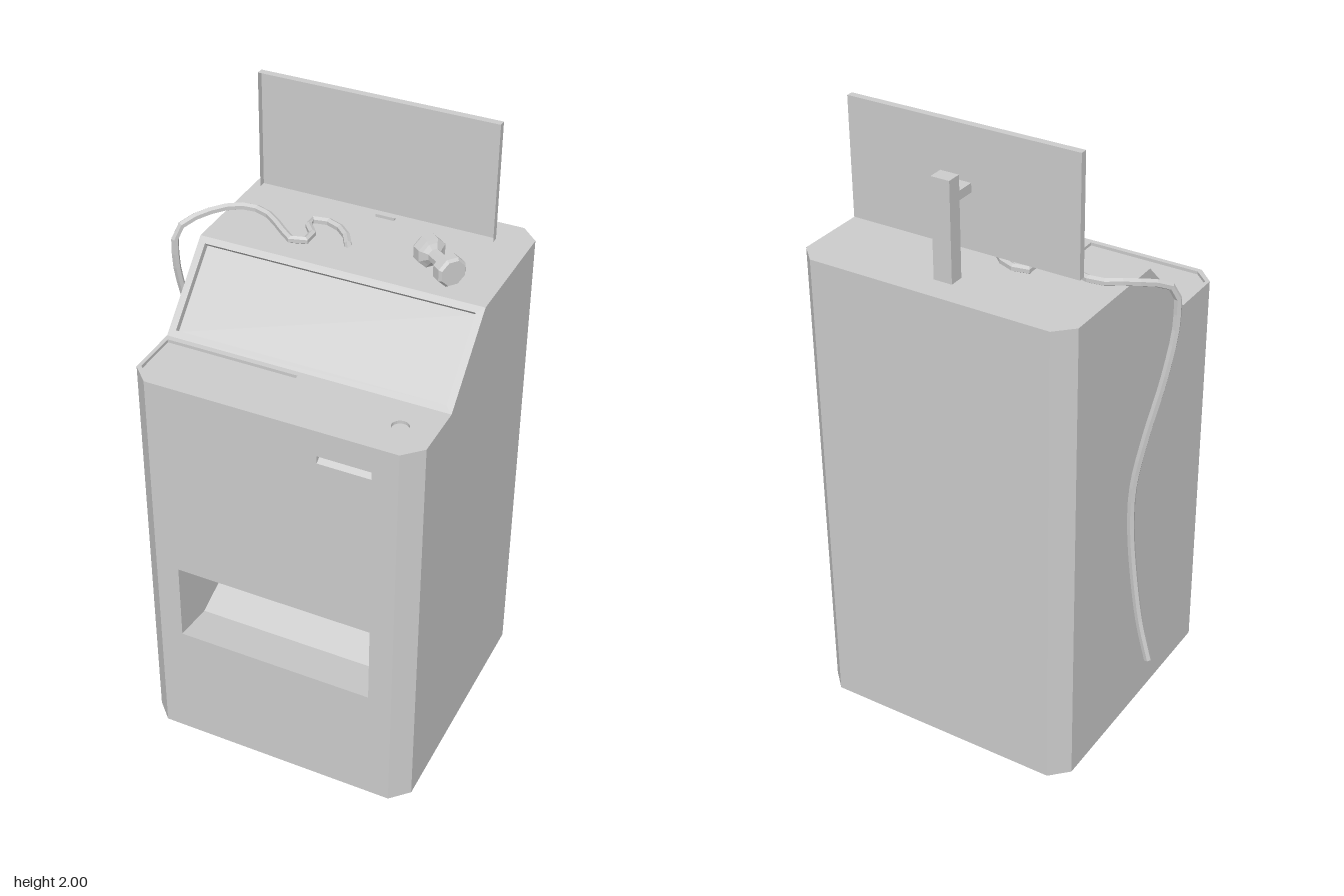
import * as THREE from 'three';
import { mergeGeometries } from 'three/addons/utils/BufferGeometryUtils.js';

const V = (x, y, z) => new THREE.Vector3(x, y, z);
const rect = (x0, y0, x1, y1) => [[x0, y0], [x1, y0], [x1, y1], [x0, y1]];

// Flat polygon, with optional holes, on the plane through o spanned by u and v
function face(o, u, v, outline, holes = []) {
  const toPts = (a) => a.map(([x, y]) => new THREE.Vector2(x, y));
  const shape = new THREE.Shape(toPts(outline));
  holes.forEach((h) => shape.holes.push(new THREE.Path(toPts(h))));
  const n = new THREE.Vector3().crossVectors(u, v);
  const m = new THREE.Matrix4().makeBasis(u, v, n).setPosition(o);
  return new THREE.ShapeGeometry(shape).applyMatrix4(m).toNonIndexed();
}

// Band of quads joining two matching rows of points
function band(a, b, closed) {
  const pos = [];
  const count = closed ? a.length : a.length - 1;
  for (let i = 0; i < count; i++) {
    const j = (i + 1) % a.length;
    [a[i], a[j], b[j], a[i], b[j], b[i]].forEach((p) => pos.push(p.x, p.y, p.z));
  }
  const g = new THREE.BufferGeometry();
  g.setAttribute('position', new THREE.Float32BufferAttribute(pos, 3));
  g.setAttribute('uv', new THREE.Float32BufferAttribute(new Float32Array(pos.length / 3 * 2), 2));
  g.computeVertexNormals();
  return g;
}

// Walls and floor of a pocket sunk below a plane
function pocket(o, u, v, outline, depth) {
  const n = new THREE.Vector3().crossVectors(u, v);
  const low = o.clone().addScaledVector(n, -depth);
  const at = (base) => outline.map(([x, y]) => base.clone().addScaledVector(u, x).addScaledVector(v, y));
  return mergeGeometries([face(low, u, v, outline), band(at(low), at(o), true)]);
}

// Trough of constant (z, y) section running along x, with end walls
function trough(x0, x1, profile) {
  const row = (x) => profile.map(([z, y]) => V(x, y, z));
  const section = profile.map(([z, y]) => [-z, y]);
  const u = V(0, 0, -1), v = V(0, 1, 0);
  return mergeGeometries([
    band(row(x0), row(x1), false),
    face(V(x0, 0, 0), u, v, section),
    face(V(x1, 0, 0), u, v, section),
  ]);
}

export function createModel() {
  const model = new THREE.Group();
  const grey = new THREE.MeshStandardMaterial({ color: 0xcccccc, side: THREE.DoubleSide, flatShading: true });
  grey.name = 'grey';
  const add = (name, geo, parent = model) => {
    const mesh = new THREE.Mesh(geo, grey);
    mesh.name = name;
    parent.add(mesh);
    return mesh;
  };

  const L = -0.39, R = 0.505, D = 0.45, C = 0.055;
  const low = 1.35, high = 1.57, slopeZ = 0.22;
  const X = V(1, 0, 0), Y = V(0, 1, 0), Z = V(0, 0, 1);
  const negX = V(-1, 0, 0), negZ = V(0, 0, -1);

  // Cabinet shell, open underneath
  const cabinet = new THREE.Group();
  cabinet.name = 'cabinet';
  model.add(cabinet);

  const trayHole = rect(-0.26, 0.41, 0.375, 0.675);
  const slotHole = rect(0.205, 1.24, 0.37, 1.265);
  add('frontPanel', face(V(0, 0, D), X, Y, rect(L + C, 0, R - C, low), [trayHole, slotHole]), cabinet);
  add('backPanel', face(V(0, 0, -D), negX, Y, rect(C - R, 0, -L - C, high)), cabinet);

  const side = [[-D + C, 0], [D - C, 0], [D - C, low], [slopeZ, low], [0, high], [-D + C, high]];
  add('rightPanel', face(V(L, 0, 0), Z, Y, side), cabinet);
  add('leftPanel', face(V(R, 0, 0), negZ, Y, side.map(([z, y]) => [-z, y])), cabinet);

  // Chamfered upright corners
  const corner = (x0, z0, x1, z1, h) => add('cornerPanel',
    band([V(x0, 0, z0), V(x1, 0, z1)], [V(x0, h, z0), V(x1, h, z1)], false), cabinet);
  corner(L, D - C, L + C, D, low);
  corner(R - C, D, R, D - C, low);
  corner(L + C, -D, L, -D + C, high);
  corner(R, -D + C, R - C, -D, high);

  // Flat rear top
  add('rearTop', face(V(0, high, 0), X, negZ,
    [[L, 0], [R, 0], [R, D - C], [R - C, D], [L + C, D], [L, D - C]]), cabinet);

  // Sloped panel with its sunken display
  const slopeO = V(0, low, slopeZ), slopeV = V(0, 1, -1).normalize();
  const display = rect(-0.368, 0.021, 0.482, 0.29);
  add('slopeFrame', face(slopeO, X, slopeV, rect(L, 0, R, slopeZ * Math.SQRT2), [display]), cabinet);
  add('slopeDisplay', pocket(slopeO, X, slopeV, display, 0.021), cabinet);

  // Front shelf with a shallow plate and a round well
  const shelfO = V(0, low, 0);
  const plate = [[-0.378, -0.388], [-0.33, -0.433], [0.043, -0.433], [0.043, -0.238], [-0.378, -0.238]];
  const well = Array.from({ length: 24 }, (_, i) => {
    const a = i / 24 * Math.PI * 2;
    return [0.4 + 0.026 * Math.cos(a), -0.33 + 0.026 * Math.sin(a)];
  });
  add('shelf', face(shelfO, X, negZ,
    [[L, -D + C], [L + C, -D], [R - C, -D], [R, -D + C], [R, -slopeZ], [L, -slopeZ]], [plate, well]), cabinet);
  add('shelfPlate', pocket(shelfO, X, negZ, plate, 0.01), cabinet);
  add('shelfWell', pocket(shelfO, X, negZ, well, 0.01), cabinet);

  // Delivery tray and card slot
  add('tray', trough(-0.26, 0.375, [[D, 0.41], [0.31, 0.39], [0.21, 0.43], [0.21, 0.675], [D, 0.675]]), cabinet);
  add('slot', trough(0.205, 0.37, [[D, 1.24], [0.425, 1.255], [0.425, 1.265], [D, 1.265]]), cabinet);

  // Monitor: shallow tray open to the front, on a post and arm
  const monitor = new THREE.Group();
  monitor.name = 'monitor';
  model.add(monitor);
  add('screen', pocket(V(0, 0, -0.24), X, Y, rect(-0.315, 1.63, 0.43, 2), 0.022), monitor);
  const box = (name, x0, y0, z0, x1, y1, z1) => add(name,
    new THREE.BoxGeometry(x1 - x0, y1 - y0, z1 - z0)
      .translate((x0 + x1) / 2, (y0 + y1) / 2, (z0 + z1) / 2), monitor);
  box('post', 0.027, high, -0.367, 0.087, 1.88, -0.32);
  box('arm', 0.027, 1.805, -0.32, 0.087, 1.833, -0.262);

  // Loose cable curling over the top and hanging beside the cabinet
  const path = [
    [0.03, 1.583, -0.12], [-0.005, 1.583, -0.175], [-0.05, 1.583, -0.205], [-0.095, 1.583, -0.213],
    [-0.137, 1.583, -0.19], [-0.1, 1.583, -0.15], [-0.082, 1.583, -0.105], [-0.1, 1.583, -0.075],
    [-0.135, 1.583, -0.075], [-0.19, 1.587, -0.12], [-0.26, 1.59, -0.168], [-0.33, 1.592, -0.175],
    [-0.41, 1.588, -0.12], [-0.485, 1.55, -0.035], [-0.493, 1.45, -0.025], [-0.477, 1.28, -0.05],
    [-0.44, 1.08, -0.08], [-0.412, 0.9, -0.095], [-0.41, 0.75, -0.097], [-0.428, 0.55, -0.095],
    [-0.45, 0.4, -0.092], [-0.482, 0.27, -0.09],
  ].map((p) => V(...p));
  add('cable', new THREE.TubeGeometry(new THREE.CatmullRomCurve3(path), 44, 0.012, 6));

  // Eight-sided dumbbell lying on the top
  const half = [[0.022, 0.026], [0.036, 0.036], [0.047, 0.042], [0.047, 0.072], [0.04, 0.081], [0, 0.081]];
  const profile = [...half.map(([r, y]) => [r, -y]).reverse(), ...half]
    .map(([r, y]) => new THREE.Vector2(r, y));
  const bell = new THREE.LatheGeometry(profile, 8).rotateY(Math.PI / 8).rotateZ(-Math.PI / 2);
  const dumbbell = add('dumbbell', bell);
  dumbbell.position.set(0.32, 1.615, -0.107);
  dumbbell.rotation.y = -0.66;

  return model;
}
